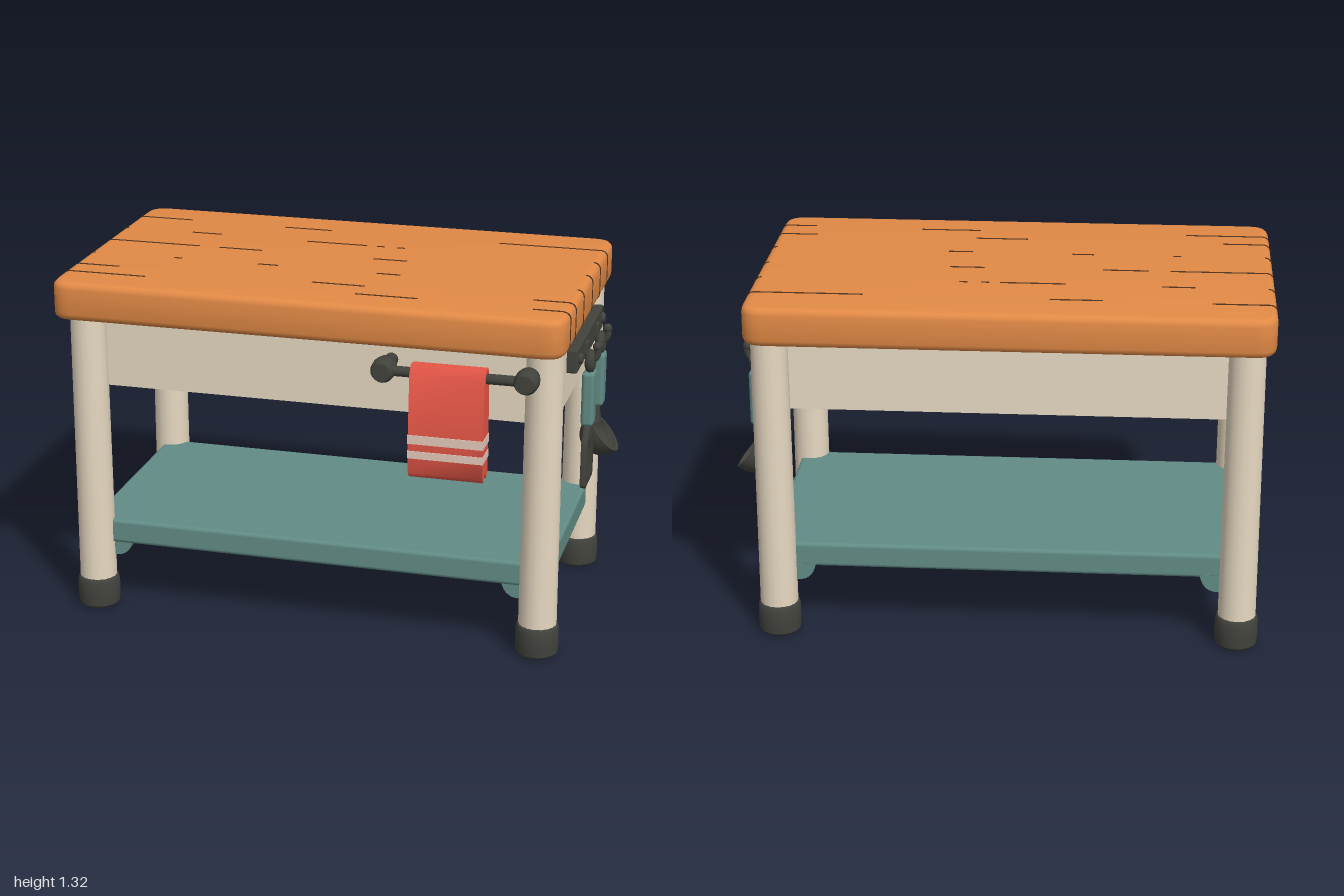
import * as THREE from 'three';
import { toCreasedNormals } from 'three/addons/utils/BufferGeometryUtils.js';
import { RoundedBoxGeometry } from 'three/addons/geometries/RoundedBoxGeometry.js';

const paint = (name, color) => {
  const m = new THREE.MeshStandardMaterial({ color });
  m.name = name;
  return m;
};

export function createModel() {
  const root = new THREE.Group();
  root.name = 'kitchenTable';
  const wood = paint('orange wood', 0xe28a46);
  const groove = paint('dark wood groove', 0x54341f);
  const cream = paint('cream paint', 0xe8dac3);
  const teal = paint('teal paint', 0x628c86);
  const iron = paint('dark iron', 0x42423d);
  const red = paint('red cloth', 0xee5a4a);
  const pale = paint('pale stripe', 0xecd0c0);

  const add = (name, geo, mat, x = 0, y = 0, z = 0, parent = root) => {
    const m = new THREE.Mesh(geo, mat);
    m.name = name;
    m.position.set(x, y, z);
    parent.add(m);
    return m;
  };
  // Box given by its limits, optionally rounded
  const box = (name, mat, [x0, x1], [y0, y1], [z0, z1], r = 0, parent = root) => {
    const s = [x1 - x0, y1 - y0, z1 - z0];
    const geo = r ? new RoundedBoxGeometry(...s, 2, r) : new THREE.BoxGeometry(...s);
    return add(name, geo, mat, (x0 + x1) / 2, (y0 + y1) / 2, (z0 + z1) / 2, parent);
  };
  const vec = (pts) => pts.map(([x, y]) => new THREE.Vector2(x, y));
  const lathe = (pts, n = 20) => toCreasedNormals(new THREE.LatheGeometry(vec(pts), n), 0.7);
  // Side profile of [z, y] points extruded along x from 0
  const sideExtrude = (pts, width, holes = [], bevel = 0) => {
    const flip = (p) => vec(p.map(([z, y]) => [-z, y]));
    const shape = new THREE.Shape(flip(pts));
    holes.forEach((h) => shape.holes.push(new THREE.Path(flip(h))));
    const geo = new THREE.ExtrudeGeometry(shape, {
      depth: width, bevelEnabled: bevel > 0, bevelSize: bevel, bevelThickness: bevel, bevelOffset: -bevel, bevelSegments: 2,
    });
    return toCreasedNormals(geo.rotateY(Math.PI / 2), 0.7);
  };

  // Table top: rounded rectangle with soft edges
  const [x0, x1, z0, z1, r] = [-1, 0.905, -0.58, 0.55, 0.08];
  const top = new THREE.Shape();
  top.moveTo(x0 + r, -z1).lineTo(x1 - r, -z1).quadraticCurveTo(x1, -z1, x1, -z1 + r);
  top.lineTo(x1, -z0 - r).quadraticCurveTo(x1, -z0, x1 - r, -z0);
  top.lineTo(x0 + r, -z0).quadraticCurveTo(x0, -z0, x0, -z0 - r);
  top.lineTo(x0, -z1 + r).quadraticCurveTo(x0, -z1, x0 + r, -z1);
  const topGeo = new THREE.ExtrudeGeometry(top, {
    depth: 0.094, bevelSize: 0.025, bevelOffset: -0.025, bevelThickness: 0.025, bevelSegments: 3, curveSegments: 5,
  });
  topGeo.rotateX(-Math.PI / 2);
  add('tableTop', toCreasedNormals(topGeo, 0.7), wood, 0, 1.201, 0);

  // Plank grooves on the upper face: z, start x, end x
  const dashes = [
    [-0.41, -0.975, -0.77], [-0.4, -0.38, -0.19], [-0.39, 0.485, 0.88], [-0.235, -0.71, -0.59], [-0.225, -0.24, 0],
    [-0.225, 0.04, 0.07], [-0.225, 0.12, 0.15], [-0.055, -0.975, -0.62], [-0.055, -0.54, -0.37], [-0.055, 0.07, 0.2],
    [0.125, -0.66, -0.63], [0.125, -0.33, -0.25], [0.13, 0.13, 0.22], [0.29, -0.975, -0.82], [0.3, -0.07, 0.13],
    [0.308, 0.75, 0.88], [0.39, -0.975, -0.68], [0.4, 0.12, 0.35], [0.418, 0.77, 0.88],
  ];
  dashes.forEach(([z, a, b]) => box('topGroove', groove, [a, b], [1.316, 1.3215], [z - 0.0045, z + 0.0045]));

  // Plank joints wrapping over the rounded ends
  const joint = new THREE.Shape();
  joint.moveTo(-0.025, 1.1745).absarc(-0.0235, 1.2, 0.0255, -Math.PI / 2, 0, false);
  joint.lineTo(0.002, 1.296).absarc(-0.0235, 1.296, 0.0255, 0, Math.PI / 2, false).lineTo(-0.025, 1.3215);
  const jointGeo = new THREE.ExtrudeGeometry(joint, { depth: 0.007, bevelEnabled: false, curveSegments: 6 });
  jointGeo.translate(0, 0, -0.0035);
  for (const z of [0.422, 0.311, 0.144, -0.046, -0.22, -0.39]) add('rightJoint', jointGeo, groove, x1, 0, z);
  for (const z of [0.39, 0.29, 0.13, -0.055, -0.235, -0.41]) add('leftJoint', jointGeo, groove, x0, 0, z).rotation.y = Math.PI;

  // Apron closed by a teal bottom panel
  box('apron', cream, [-0.895, 0.855], [0.891, 1.19], [-0.44, 0.405]);
  box('apronBottom', teal, [-0.89, 0.85], [0.8895, 0.895], [-0.435, 0.4]);

  // Legs, feet and shelf brackets
  const legGeo = new THREE.CylinderGeometry(0.067, 0.071, 1.1, 18);
  const footGeo = lathe([[0, 0], [0.068, 0], [0.078, 0.01], [0.081, 0.05], [0.08, 0.1], [0.075, 0.117], [0.068, 0.122], [0, 0.122]]);
  const bracketShape = new THREE.Shape();
  bracketShape.moveTo(0, 0.065).lineTo(0, 0).lineTo(0.085, 0);
  bracketShape.quadraticCurveTo(0.13, 0.005, 0.142, 0.065);
  const bracketGeo = new THREE.ExtrudeGeometry(bracketShape, { depth: 0.032, bevelEnabled: false, curveSegments: 6 });
  bracketGeo.translate(0, 0, -0.016);
  for (const [x, sx] of [[-0.9, 1], [0.82, -1]])
    for (const [z, sz] of [[0.417, -1], [-0.46, 1]]) {
      add('leg', legGeo, cream, x, 0.64, z);
      add('foot', footGeo, iron, x, 0, z);
      add('bracketX', bracketGeo, teal, x, 0.205, z + sz * 0.02).rotation.y = sx > 0 ? 0 : Math.PI;
      add('bracketZ', bracketGeo, teal, x + sx * 0.02, 0.205, z).rotation.y = -sz * Math.PI / 2;
    }

  // Lower shelf
  box('shelf', teal, [-0.92, 0.855], [0.259, 0.354], [-0.455, 0.428], 0.015);

  // Towel rail
  const rail = new THREE.Group();
  rail.name = 'towelRail';
  root.add(rail);
  const knobGeo = lathe([[0, 0], [0.024, 0], [0.026, 0.08], [0.04, 0.1], [0.045, 0.13], [0.043, 0.165], [0.034, 0.184], [0, 0.186]]);
  for (const x of [0.258, 0.775]) add('railKnob', knobGeo, iron, x, 1.088, 0.382, rail).rotation.x = Math.PI / 2;
  add('railBar', new THREE.CylinderGeometry(0.019, 0.019, 0.51, 12), iron, 0.516, 1.088, 0.53, rail).rotation.z = Math.PI / 2;

  // Towel folded over the rail
  const towel = [
    [0.488, 0.725], [0.483, 0.9], [0.489, 1.09], [0.508, 1.122], [0.545, 1.122], [0.566, 1.09], [0.581, 0.85], [0.577, 0.725],
    [0.56, 0.705], [0.539, 0.72], [0.534, 0.88], [0.532, 0.9], [0.53, 0.88], [0.53, 0.73], [0.508, 0.705],
  ];
  add('towel', sideExtrude(towel, 0.272), red, 0.362, 0, 0, rail);
  for (const [a, b] of [[0.837, 0.87], [0.782, 0.81]]) {
    box('towelStripeFront', pale, [0.36, 0.636], [a, b], [0.534, 0.583], 0, rail);
    box('towelStripeBack', pale, [0.36, 0.636], [a, b], [0.482, 0.531], 0, rail);
  }

  // Utensil rack with bolts
  const rack = new THREE.Group();
  rack.name = 'utensilRack';
  root.add(rack);
  box('rackBar', iron, [0.845, 0.895], [1.01, 1.1], [-0.415, 0.175], 0.008, rack);
  for (const z of [0.13, -0.38])
    add('rackBolt', new THREE.CylinderGeometry(0.017, 0.023, 0.016, 10), iron, 0.9, 1.057, z, rack).rotation.z = -Math.PI / 2;

  // Hooks, hanging rings and handles
  const hookCurve = new THREE.CatmullRomCurve3([[0.885, 1.045], [0.908, 1.018], [0.925, 1.012], [0.938, 1.03], [0.94, 1.055]]
    .map(([x, y]) => new THREE.Vector3(x, y, 0)));
  const hookGeo = new THREE.TubeGeometry(hookCurve, 12, 0.014, 8);
  const ringGeo = new THREE.TorusGeometry(0.027, 0.018, 8, 18).rotateY(Math.PI / 2);
  for (const z of [-0.012, -0.246]) {
    add('hook', hookGeo, iron, 0, 0, z, rack);
    add('hookTip', new THREE.SphereGeometry(0.018, 10, 8), iron, 0.938, 1.06, z, rack);
    box('hookPlate', iron, [0.888, 0.905], [1.03, 1.08], [z - 0.018, z + 0.018], 0.006, rack);
    add('hangingRing', ringGeo, iron, 0.914, 1.003, z, rack);
    box('utensilHandle', teal, [0.888, 0.936], [0.753, 0.966], [z - 0.037, z + 0.037], 0.015, rack);
  }

  // Slotted spatula blade
  const blade = [
    [0.075, 0.535], [0.06, 0.522], [-0.08, 0.522], [-0.095, 0.535], [-0.096, 0.695],
    [-0.085, 0.715], [-0.045, 0.757], [0.025, 0.757], [0.065, 0.715], [0.076, 0.695],
  ];
  const slot = (a, b) => [[a, 0.57], [b, 0.57], [b, 0.672], [a, 0.672]];
  add('spatulaBlade', sideExtrude(blade, 0.014, [slot(0.008, 0.032), slot(-0.053, -0.03)], 0.004), iron, 0.907, 0, 0, rack);

  // Ladle: flared neck and a bowl tilted outward and up
  add('ladleNeck', new THREE.CylinderGeometry(0.022, 0.04, 0.075, 12), iron, 0.907, 0.723, -0.246, rack).scale.x = 0.5;
  const arc = (radius, depth) => Array.from({ length: 9 }, (_, i) => {
    const a = (i / 8) * Math.PI / 2;
    return [radius * Math.sin(a), -depth * Math.cos(a)];
  });
  const bowl = [...arc(0.087, 0.1), ...arc(0.072, 0.08).reverse()];
  add('ladleBowl', lathe(bowl, 24), iron, 0.942, 0.643, -0.242, rack).rotation.z = -0.88;

  return root;
}
